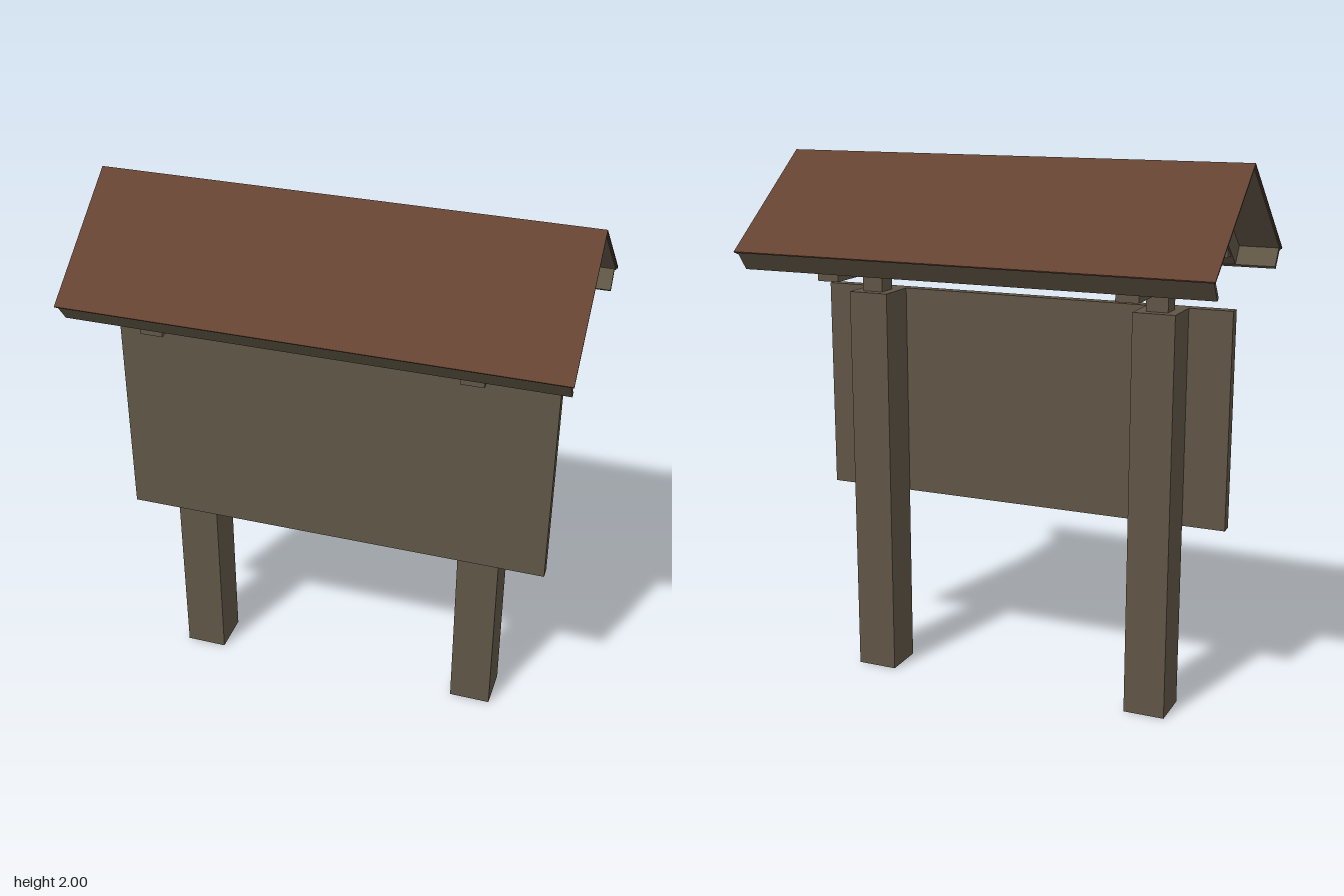
import * as THREE from 'three';

export function createModel() {
  const model = new THREE.Group();
  model.name = 'noticeBoard';

  const wood = new THREE.MeshStandardMaterial({ color: 0x5f5545 });
  wood.name = 'weathered wood';
  const red = new THREE.MeshStandardMaterial({ color: 0x654232 });
  red.name = 'red brown roofing';

  const add = (name, geometry, material = wood) => {
    const mesh = new THREE.Mesh(geometry, material);
    mesh.name = name;
    model.add(mesh);
    return mesh;
  };

  // Box given by its limits on each axis
  const box = (name, x0, x1, y0, y1, z0, z1) => {
    const mesh = add(name, new THREE.BoxGeometry(x1 - x0, y1 - y0, z1 - z0));
    mesh.position.set((x0 + x1) / 2, (y0 + y1) / 2, (z0 + z1) / 2);
  };

  // Profile of [z, y] points extruded along x
  const prism = (name, points, x0, x1, material) => {
    const shape = new THREE.Shape(points.map(([z, y]) => new THREE.Vector2(-z, y)));
    const geometry = new THREE.ExtrudeGeometry(shape, { depth: x1 - x0, bevelEnabled: false });
    geometry.rotateY(Math.PI / 2).translate(x0, 0, 0);
    add(name, geometry, material);
  };

  // Point on a roof slope: s along the slope from the ridge, d below its surface
  const onSlope = (s, d, side) => [side * (s * 0.8 - d * 0.6), 2 - s * 0.6 - d * 0.8];

  // Both slopes of a gable layer between two depths
  const gable = (name, d0, d1, s, x0, x1, material) => prism(name, [
    onSlope(s, d0, 1), [0, 2 - d0 / 0.8], onSlope(s, d0, -1),
    onSlope(s, d1, -1), [0, 2 - d1 / 0.8], onSlope(s, d1, 1),
  ], x0, x1, material);

  // Roof covering, its boarding and the end rafters
  gable('roofCovering', 0, 0.006, 0.55, -0.877, 0.875, red);
  gable('roofBoarding', 0.006, 0.013, 0.547, -0.872, 0.87);
  gable('rightRafters', 0.013, 0.088, 0.53, -0.725, -0.645);
  gable('leftRafters', 0.013, 0.088, 0.53, 0.64, 0.72);

  for (const side of [1, -1]) {
    const end = side > 0 ? 'front' : 'back';
    // Eave board, square to the slope
    prism(end + 'EaveBoard', [
      onSlope(0.53, 0.013, side), onSlope(0.545, 0.013, side),
      onSlope(0.545, 0.09, side), onSlope(0.53, 0.09, side),
    ], -0.87, 0.865);
    // Purlin resting on the ties
    const z = side * 0.318;
    box(end + 'Purlin', -0.72, 0.715, 1.645, 1.71, z - 0.038, z + 0.038);
  }

  // Post and truss on each side
  for (const [label, cx] of [['right', -0.564], ['left', 0.544]]) {
    box(label + 'Post', cx - 0.077, cx + 0.077, 0, 1.49, -0.073, 0.084);
    box(label + 'KingPost', cx - 0.04, cx + 0.04, 1.49, 1.89, -0.037, 0.041);
    box(label + 'Tie', cx - 0.04, cx + 0.04, 1.572, 1.645, -0.355, 0.362);
    for (const side of [1, -1]) {
      prism(label + 'Brace', [
        [side * 0.2, 1.645], [side * 0.27, 1.645], [side * 0.035, 1.875], [side * 0.035, 1.815],
      ], cx - 0.038, cx + 0.038);
    }
  }

  // Beam joining the trusses
  box('crossBeam', -0.524, 0.504, 1.572, 1.645, -0.037, 0.041);

  // Display board on the front of the posts
  box('displayBoard', -0.8, 0.796, 0.693, 1.49, 0.084, 0.127);

  return model;
}
